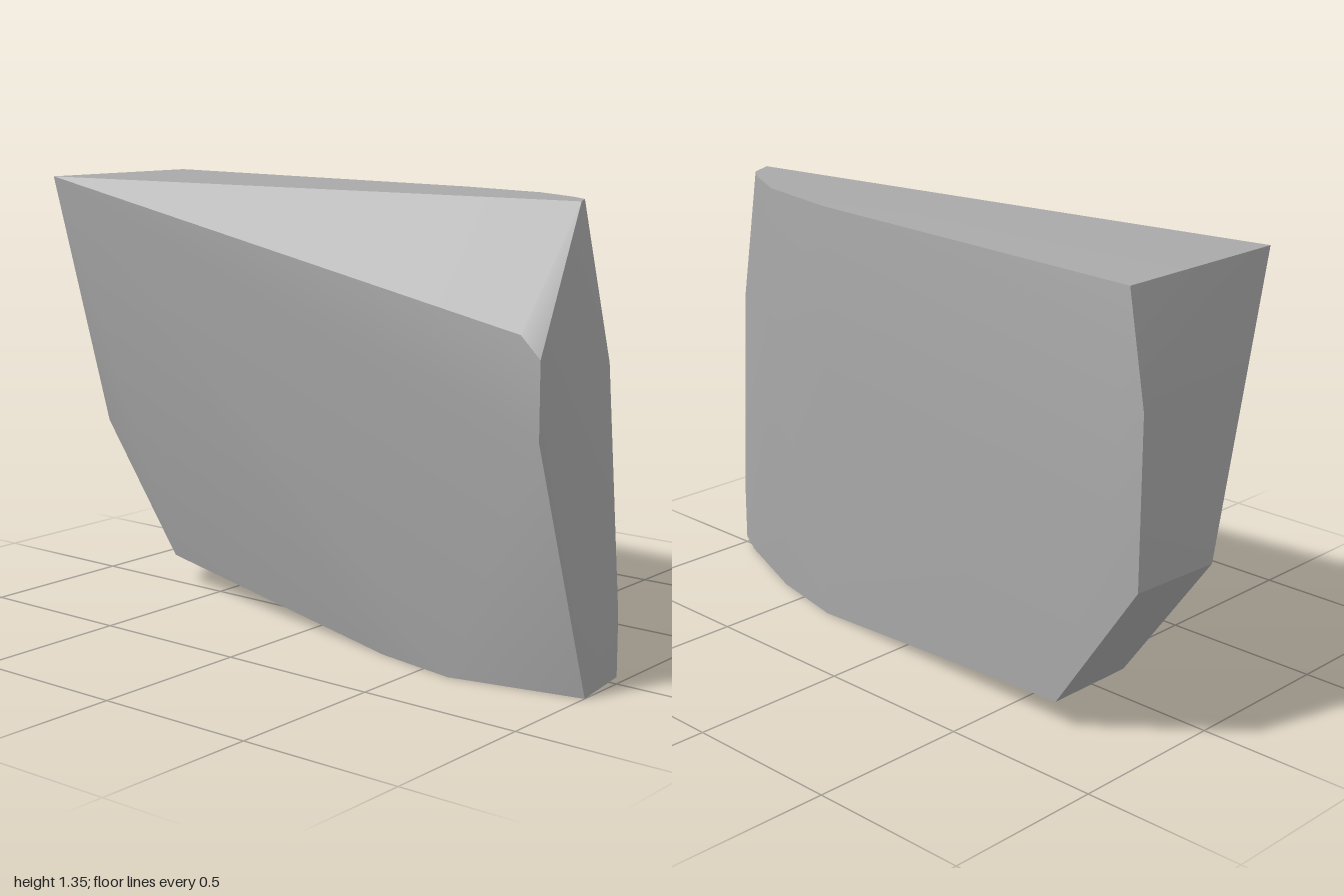
import * as THREE from 'three';
import { ConvexGeometry } from 'three/addons/geometries/ConvexGeometry.js';
import { toCreasedNormals } from 'three/addons/utils/BufferGeometryUtils.js';

export function createModel() {
  const stone = new THREE.MeshStandardMaterial({ color: 0xa9a9a9 });
  stone.name = 'stone grey';

  // Corners of the rock slab, ring by ring
  const top = [
    [-0.94, 1.345, 0.28], [0.87, 1.34, 0.03], [0.83, 1.34, -0.05], [0.76, 1.34, -0.1],
    [0.6, 1.34, -0.18], [0.3, 1.34, -0.235], [-0.93, 1.34, -0.303],
  ];
  const front = [
    [0.88, 1.01, 0.327], [0.945, 0.95, 0.33], [0.945, 0.73, 0.33],
  ];
  const back = [
    [0.94, 0.9, -0.02], [1, 0.2, 0], [0.6, 0.85, -0.196], [0.3, 0.85, -0.243],
    [-0.92, 0.78, -0.33], [-0.93, 1.25, -0.313],
  ];
  const left = [
    [-1, 1.02, -0.318], [-1, 0.52, -0.318], [-1, 0.51, 0],
  ];
  const bottom = [
    [-0.7, 0.09, 0], [-0.7, 0.09, -0.295], [0.35, 0, -0.21], [0.62, 0, -0.15],
    [0.92, 0.005, -0.035], [1, 0.02, 0], [1, 0, 0.165], [0.6, 0, 0.25], [0.33, 0, 0.2],
  ];

  const points = [...top, ...front, ...back, ...left, ...bottom]
    .map((p) => new THREE.Vector3(...p));

  // Soft shading over the shallow bends, sharp main edges
  const rock = new THREE.Mesh(toCreasedNormals(new ConvexGeometry(points), 0.6), stone);
  rock.name = 'rock';

  const group = new THREE.Group();
  group.name = 'rockSlab';
  group.add(rock);
  return group;
}
